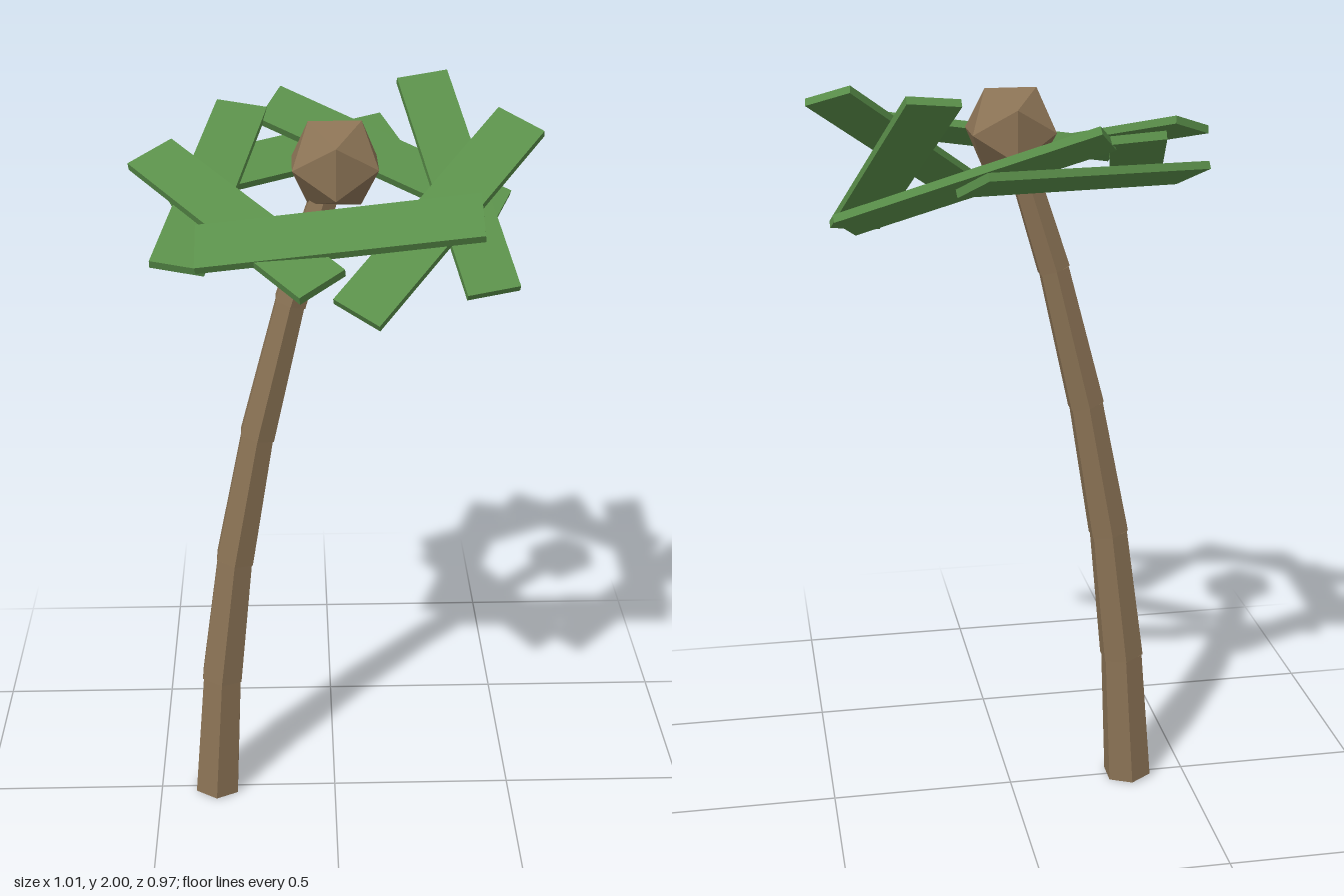
import * as THREE from 'three';

export function createModel() {
  const model = new THREE.Group();
  model.name = 'palmTree';
  const bark = new THREE.MeshStandardMaterial({ color: 0x8b7355, flatShading: true });
  const leaf = new THREE.MeshStandardMaterial({ color: 0x5a8f4a, flatShading: true });

  // Trunk: a chain of tapered six-sided segments along a leaning curve
  const trunk = new THREE.Group();
  trunk.name = 'trunk';
  const joints = [[-0.34, 0.005], [-0.315, 0.385], [-0.27, 0.76], [-0.202, 1.13], [-0.112, 1.5], [0, 1.86]]
    .map(([x, y]) => new THREE.Vector3(x, y, 0));
  const up = new THREE.Vector3(0, 1, 0);
  for (let i = 0; i < 5; i++) {
    const axis = joints[i + 1].clone().sub(joints[i]);
    const bottom = 0.068 - i * 0.0057;
    const segment = new THREE.Mesh(
      new THREE.CylinderGeometry(bottom - 0.009, bottom, axis.length(), 6), bark);
    segment.name = `trunkSegment${i + 1}`;
    segment.position.copy(joints[i]).addScaledVector(axis, 0.5);
    segment.quaternion.setFromUnitVectors(up, axis.normalize());
    trunk.add(segment);
  }
  model.add(trunk);

  // Crown knob on top of the trunk
  const crown = new THREE.Mesh(new THREE.IcosahedronGeometry(0.123, 0), bark);
  crown.name = 'crown';
  crown.position.y = 1.857;
  model.add(crown);

  // Fronds: seven tilted planks in a ring, all sloping down to the front
  const fronds = new THREE.Group();
  fronds.name = 'fronds';
  const plank = new THREE.BoxGeometry(0.667, 0.02, 0.133);
  for (let i = 0; i < 7; i++) {
    const angle = (i / 7) * Math.PI * 2;
    const frond = new THREE.Mesh(plank, leaf);
    frond.name = `frond${i + 1}`;
    frond.position.set(Math.sin(angle) * 0.313, 1.787, Math.cos(angle) * 0.313);
    frond.rotation.set(0.5, angle, 0.15);
    fronds.add(frond);
  }
  model.add(fronds);
  return model;
}
